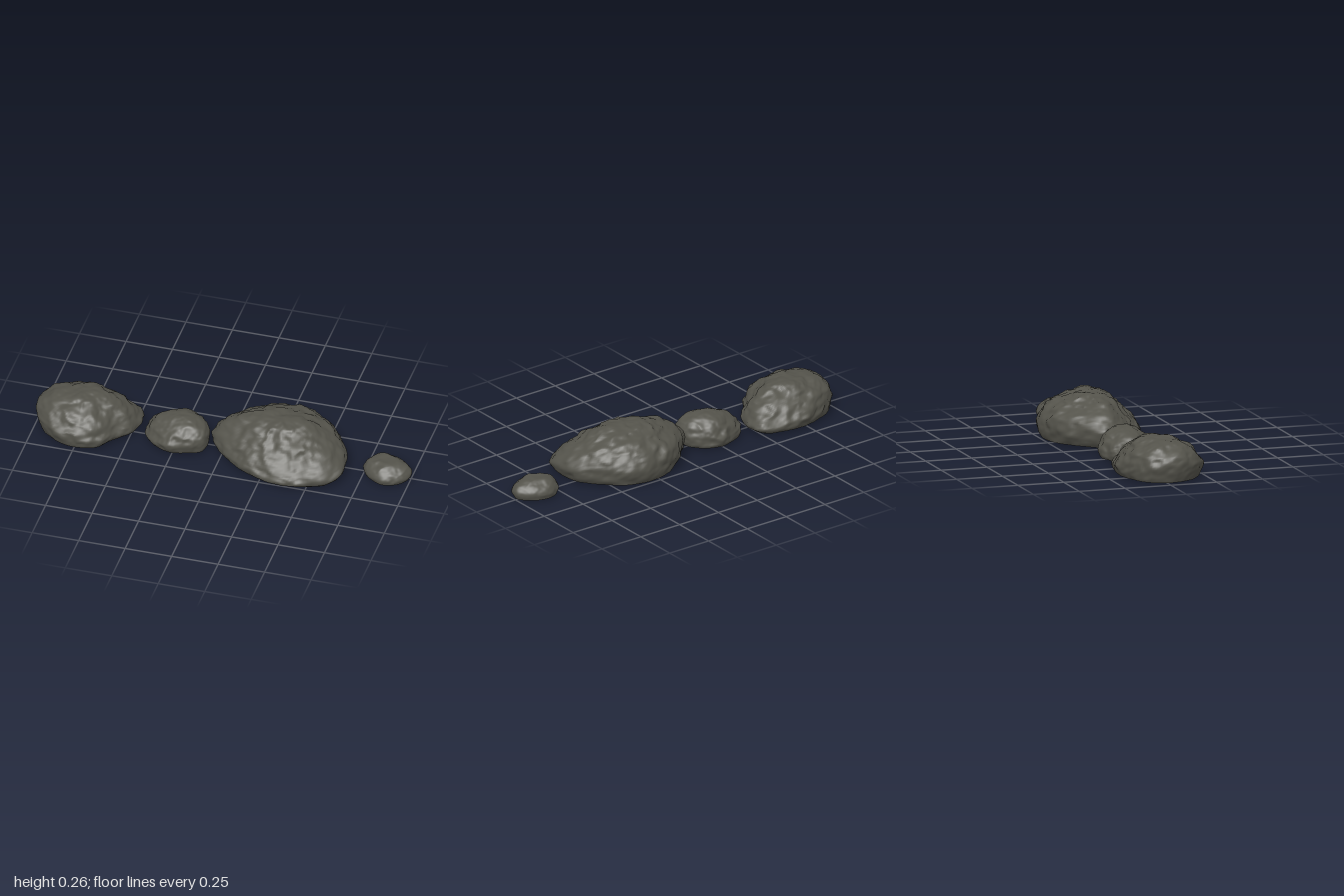
import * as THREE from 'three';

const SEG = 120;

// Shared side profile from foot to summit: [share of plan radius, share of height]
const PROFILE = [[0.92, 0.04], [0.97, 0.14], [1, 0.33], [0.89, 0.56], [0.7, 0.76], [0.5, 0.9], [0.32, 0.975], [0, 1]];

// Seeded lattice value noise, range -1..1
function hash(x, y, z) {
  const s = Math.sin(x * 127.1 + y * 311.7 + z * 74.7) * 43758.5453;
  return (s - Math.floor(s)) * 2 - 1;
}
function noise(x, y, z) {
  const i = [x, y, z].map(Math.floor);
  const f = [x - i[0], y - i[1], z - i[2]].map((t) => t * t * (3 - 2 * t));
  let sum = 0;
  for (let c = 0; c < 8; c++) {
    const d = [c & 1, (c >> 1) & 1, c >> 2];
    const w = d.reduce((p, on, k) => p * (on ? f[k] : 1 - f[k]), 1);
    sum += w * hash(i[0] + d[0], i[1] + d[1], i[2] + d[2]);
  }
  return sum;
}

// Skin a stack of closed rings
function loft(rings) {
  const pos = [], index = [];
  rings.forEach((ring) => ring.forEach((p) => pos.push(p.x, p.y, p.z)));
  for (let j = 0; j < rings.length - 1; j++) {
    for (let i = 0; i < SEG; i++) {
      const a = j * SEG + i, b = j * SEG + ((i + 1) % SEG), c = a + SEG, d = b + SEG;
      index.push(a, c, b, b, c, d);
    }
  }
  const g = new THREE.BufferGeometry();
  g.setAttribute('position', new THREE.Float32BufferAttribute(pos, 3));
  g.setIndex(index);
  g.computeVertexNormals();
  return g;
}

// radii: plan radii at even angles from -x round by the back; lean: summit shift in x;
// tiltX, tiltZ: slope of the widest line; bulge: below 1 gives a blunter top;
// ridge: narrowing of the top from front to back
function makeRock({ name, x: cx, z: cz, height, radii, bulge, ridge, lean, tiltX, tiltZ, rough }, material) {
  const plan = new THREE.CatmullRomCurve3(radii.map((r, i) => {
    const t = (i / radii.length) * Math.PI * 2;
    return new THREE.Vector3(-Math.cos(t) * r, 0, -Math.sin(t) * r);
  }), true, 'centripetal').getPoints(SEG).slice(0, SEG);
  const side = new THREE.CatmullRomCurve3(
    PROFILE.map(([s, h]) => new THREE.Vector3(s, h, 0)), false, 'centripetal').getSpacedPoints(48);
  const foot = PROFILE[0][1];

  const shell = side.map(({ x: share, y: h }) => plan.map((p) => {
    const s = Math.pow(Math.max(share, 0), bulge);
    // the widest line rises and falls around the rock
    const band = Math.sin(Math.PI * THREE.MathUtils.clamp(h - foot, 0, 1));
    const x = cx + p.x * s + lean * h * h * (1 - s);
    const z = cz + p.z * s * (1 - ridge * h * h);
    const y = h * height + band * s * (p.x * tiltX + p.z * tiltZ);
    // broad lumps, chipped ledges and fine pitting, weaker at the foot
    const lump = noise(x * 11, y * 15 + 3, z * 11) + 0.6 * noise(x * 26, y * 34, z * 26 + 7);
    const ledge = 0.4 - Math.abs(noise(x * 17 + 5, y * 26, z * 17));
    const pit = noise(x * 55, y * 65, z * 55);
    const n = Math.min(1, 0.4 + (h - foot) * 3) * rough * (lump * 0.7 + ledge * 0.8 + pit * 0.2);
    const out = (n * 0.8 * Math.min(1, p.length() * s * 8)) / p.length();
    return new THREE.Vector3(x + p.x * out, Math.max(y + n * 0.6 * h, foot * height), z + p.z * out);
  }));

  // gently bulging underside
  const base = [0, 0.3, 0.6, 0.85, 1].map((t) => shell[0].map((p) => new THREE.Vector3(
    cx + (p.x - cx) * t, p.y * t * t, cz + (p.z - cz) * t)));

  const group = new THREE.Group();
  group.name = name;
  [['stone', shell], ['underside', base]].forEach(([part, rings]) => {
    const mesh = new THREE.Mesh(loft(rings), material);
    mesh.name = part;
    group.add(mesh);
  });
  return group;
}

export function createModel() {
  const stone = new THREE.MeshStandardMaterial({ color: 0x54534b });
  stone.name = 'dark stone';
  const group = new THREE.Group();
  group.name = 'rocks';

  group.add(makeRock({
    name: 'largeRock', x: 0.3, z: 0, height: 0.25, bulge: 1, ridge: 0.2, lean: -0.01, tiltX: 0, tiltZ: -0.14, rough: 0.018,
    radii: [0.37, 0.295, 0.275, 0.27, 0.28, 0.3, 0.36, 0.385, 0.31, 0.27, 0.262, 0.287],
  }, stone));
  group.add(makeRock({
    name: 'mediumRock', x: -0.74, z: 0.02, height: 0.215, bulge: 0.95, ridge: 0.1, lean: -0.01, tiltX: -0.15, tiltZ: 0, rough: 0.016,
    radii: [0.26, 0.25, 0.215, 0.215, 0.24, 0.3, 0.265, 0.205, 0.225, 0.225, 0.23, 0.248],
  }, stone));
  group.add(makeRock({
    name: 'smallRock', x: -0.25, z: 0, height: 0.166, bulge: 1.05, ridge: 0, lean: 0.04, tiltX: 0.12, tiltZ: 0, rough: 0.014,
    radii: [0.18, 0.162, 0.135, 0.135, 0.134, 0.15, 0.17, 0.182, 0.147, 0.146, 0.147, 0.157],
  }, stone));
  group.add(makeRock({
    name: 'pebble', x: 0.87, z: 0, height: 0.097, bulge: 0.72, ridge: 0.05, lean: 0, tiltX: 0, tiltZ: 0, rough: 0.01,
    radii: [0.125, 0.12, 0.11, 0.1, 0.1, 0.11, 0.13, 0.12, 0.112, 0.107, 0.1, 0.11],
  }, stone));
  return group;
}
